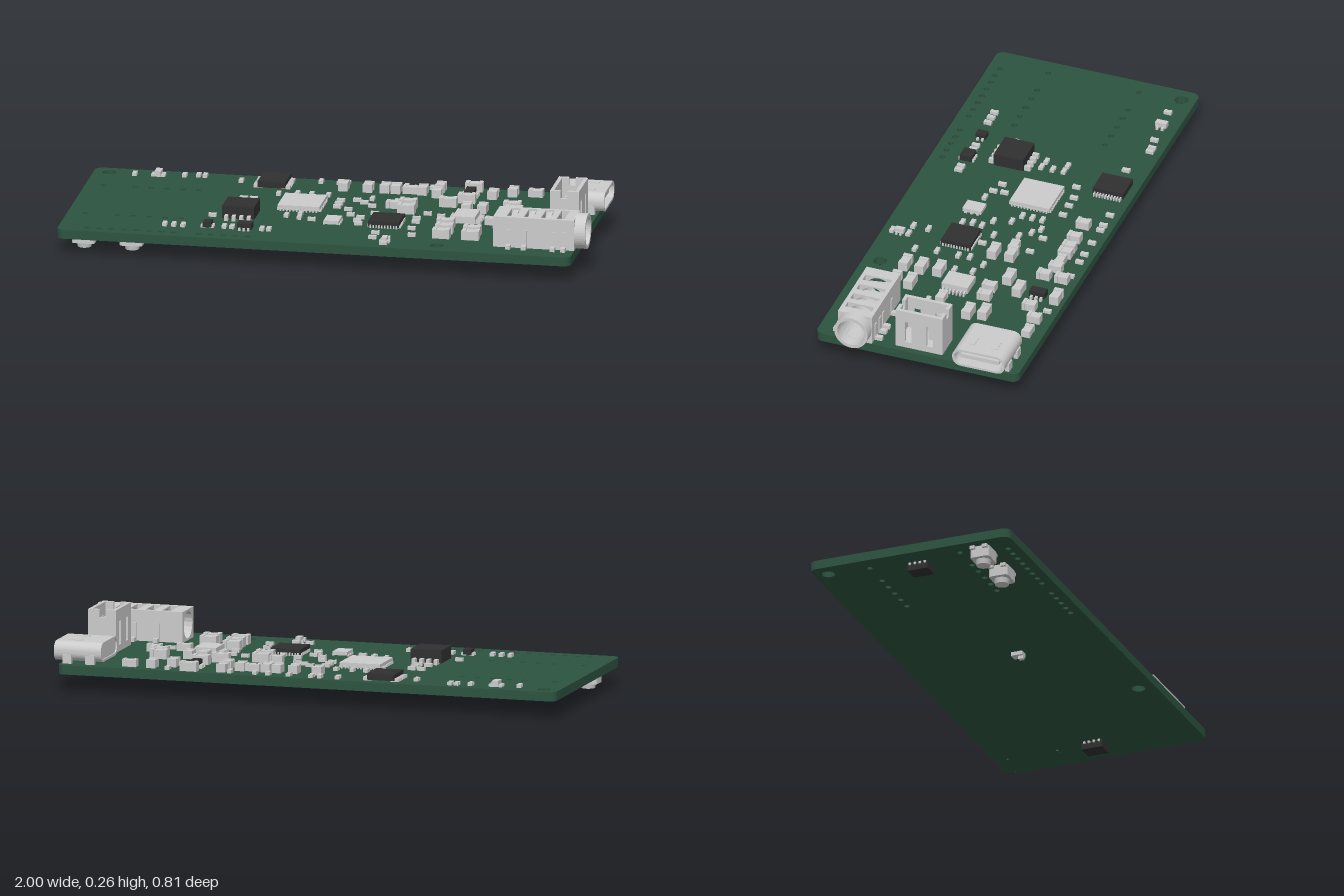
import * as THREE from 'three';

const TOP = 0.1, BOTTOM = 0.065;
const grey = new THREE.MeshStandardMaterial({ color: 0xcccccc });
const black = new THREE.MeshStandardMaterial({ color: 0x303030 });
const green = new THREE.MeshStandardMaterial({ color: 0x2d5340 });

export function createModel() {
  const model = new THREE.Group();

  function group(name, parent = model) {
    const g = new THREE.Group();
    g.name = name;
    parent.add(g);
    return g;
  }
  function add(parent, name, geometry, material = grey) {
    const mesh = new THREE.Mesh(geometry, material);
    mesh.name = name;
    parent.add(mesh);
    return mesh;
  }
  // Box given by its lower and upper limits on each axis
  function box(parent, name, x0, x1, y0, y1, z0, z1, material = grey) {
    const mesh = add(parent, name, new THREE.BoxGeometry(x1 - x0, y1 - y0, z1 - z0), material);
    mesh.position.set((x0 + x1) / 2, (y0 + y1) / 2, (z0 + z1) / 2);
    return mesh;
  }
  function roundRect(w, h, r, Type = THREE.Shape) {
    const s = new Type(), a = w / 2 - r, b = h / 2 - r;
    s.absarc(a, b, r, 0, Math.PI / 2);
    s.absarc(-a, b, r, Math.PI / 2, Math.PI);
    s.absarc(-a, -b, r, Math.PI, Math.PI * 1.5);
    s.absarc(a, -b, r, Math.PI * 1.5, Math.PI * 2);
    s.closePath();
    return s;
  }
  function circle(x, y, r) {
    return new THREE.Path().absarc(x, y, r, 0, Math.PI * 2, true);
  }
  // Extrude a (z, y) profile along x, from x0 to x1
  function extrudeX(parent, name, shape, x0, x1, y, z, curveSegments = 10) {
    const geo = new THREE.ExtrudeGeometry(shape, { depth: x1 - x0, bevelEnabled: false, curveSegments });
    const mesh = add(parent, name, geo.rotateY(Math.PI / 2));
    mesh.position.set(x0, y, z);
    return mesh;
  }

  // Circuit board with mounting holes and rows of pin holes
  const outline = roundRect(1.96, 0.81, 0.03);
  const hole = (x, z, r) => outline.holes.push(circle(x + 0.02, -z, r));
  hole(-0.94, -0.35, 0.026);
  hole(0.44, 0.34, 0.026);
  for (const z of [-0.185, 0.18]) {
    hole(-0.93, z, 0.011);
    for (let i = 0; i < 5; i++) hole(-0.81 + i * 0.061, z, 0.011);
  }
  for (let i = 0; i < 8; i++) hole(-0.893 + i * 0.0475, 0.36, 0.011);
  for (let i = 0; i < 5; i++) hole(-0.465 + i * 0.0468, 0.36, 0.011);
  const boardGeo = new THREE.ExtrudeGeometry(outline, { depth: TOP - BOTTOM, bevelEnabled: false, curveSegments: 8 });
  add(model, 'circuitBoard', boardGeo.rotateX(-Math.PI / 2), green).position.set(-0.02, BOTTOM, 0);

  // Chips: body plus pins along the x sides and/or the z sides
  function chip(name, x, z, w, d, h, material, pinsX, pinsZ, reach = 0.012) {
    const g = group(name);
    box(g, 'chipBody', x - w / 2, x + w / 2, TOP + 0.004, TOP + h, z - d / 2, z + d / 2, material);
    const lift = Math.min(h * 0.45, 0.02);
    const pins = (n, length, place) => {
      for (let i = 0; i < n; i++) {
        const t = ((i + 0.5) / n - 0.5) * length * 0.94, p = length / n * 0.22;
        for (const s of [-1, 1]) place(t, p, s);
      }
    };
    const pin = (cx, cz, a, b) => box(g, 'pin', cx - a, cx + a, TOP, TOP + lift, cz - b, cz + b);
    pins(pinsX, d, (t, p, s) => pin(x + s * w / 2, z + t, reach, p));
    pins(pinsZ, w, (t, p, s) => pin(x + t, z + s * d / 2, p, reach));
  }
  chip('mainChip', -0.15, -0.067, 0.16, 0.16, 0.022, grey, 12, 12, 0.004);
  chip('eightPinChip', -0.352, 0.1, 0.122, 0.118, 0.053, black, 0, 4, 0.024);
  chip('narrowPinChip', -0.303, -0.314, 0.106, 0.122, 0.028, black, 10, 0, 0.017);
  chip('squareChip', 0.203, 0.104, 0.118, 0.118, 0.026, black, 10, 10, 0.004);
  chip('powerChip', 0.49, 0.007, 0.085, 0.105, 0.03, grey, 7, 0, 0.02);
  chip('smallGreyChip', 0.003, 0.126, 0.058, 0.075, 0.018, grey, 3, 0, 0.004);
  chip('smallBlackChip', -0.305, 0.267, 0.054, 0.048, 0.026, black, 0, 3, 0.007);
  chip('tinyBlackChip', -0.448, 0.265, 0.032, 0.04, 0.024, black, 2, 0, 0.009);
  chip('regulatorChip', 0.448, -0.297, 0.036, 0.062, 0.03, black, 3, 0, 0.014);
  chip('transistor', -0.75, -0.342, 0.024, 0.045, 0.024, grey, 2, 0, 0.014);
  chip('transistor', 0.24, 0.335, 0.02, 0.035, 0.022, grey, 2, 0, 0.01);

  // Passive parts: bodies with end caps; positions are x, z pairs in hundredths
  function passives(name, length, width, h, alongX, spots) {
    const g = group(name);
    for (let i = 0; i < spots.length; i += 2) {
      const part = group('passive', g);
      part.position.set(spots[i] / 100, 0, spots[i + 1] / 100);
      if (!alongX) part.rotation.y = Math.PI / 2;
      const l = length / 2, w = width / 2, c = length * 0.24;
      box(part, 'core', -l + c, l - c, TOP, TOP + h * 0.93, -w * 0.94, w * 0.94);
      for (const s of [-1, 1]) {
        box(part, 'endCap', s * l - (s > 0 ? c : 0), s * l + (s < 0 ? c : 0), TOP, TOP + h, -w, w);
      }
    }
  }
  passives('largeCapacitors', 0.066, 0.036, 0.036, true, [
    45, -37, 45, -22, 39, -16, 24.6, -11.5, 25.1, -4.6, 63.6, -15.2, 65.2, -9.4,
    43.8, 17.4, 43.8, 23.8, 54.5, 17.9, 55, 23.8, 43, 10.5]);
  passives('uprightCapacitors', 0.052, 0.036, 0.032, false, [
    -3.5, -29.7, 5.9, -29.7, 12.3, -30, 16.6, -30, 26.7, -30, 32.6, -27.5, 32.6, -34.7,
    60.4, -34, 53, -11.3, 47, -11, 53.5, -29.5]);
  passives('wideCapacitors', 0.055, 0.034, 0.028, true, [
    19.2, -10.4, 69, -34.6, 21.9, -30, 59.5, 3.5, 70, -1]);
  passives('smallResistorsAcross', 0.03, 0.017, 0.013, true, [
    -38, -10.5, -34.2, -10.4, -34, -6, -38, -2, -34, -1.5, -1.6, -14, -1.6, -6, -1.6, -10,
    4.3, -15.7, 7.5, -13.1, 11.2, -9.4, 3.2, -3.5, 5.3, 3, 9.6, 6, 10.2, 13.6, 9.1, 9.9,
    13.9, -0.3, 31, 7.5, 30.5, 3, 31, 16, 33.5, -3.5, 39, -1.3, 40.1, 5.6, -8, 11.5,
    -45.5, 13, 18.7, 24, 18.7, 30, 24, 30, 24, 36.5, 32.6, 24.3, 62, 8, 65, 5]);
  passives('smallResistorsUpright', 0.03, 0.017, 0.013, false, [
    -83.9, -33.4, -65.2, -35, -60, -36, -57.5, -36, -43, -32, -13.4, -36.6, -6.4, -36.6,
    -3, -36.6, 5.9, -36.6, 13.9, -36.6, 19.2, -36.6, 29, -36.6, 53.5, -36.6, -26.2, -18.4,
    -19.3, -20, -13.9, -20, -7.5, -20, 9.6, -18.4, 19.2, -16.8, 20.3, 1.9, -18.2, 8.3,
    -13, 10, -13.4, 5.6, -61, 27.5, -57.5, 27.5, -54, 27.5, -38.5, 26.5, -35.5, 26.5, -24, 27, -21.4, 27]);

  // USB-style socket: rounded hollow shell, tongue and mounting tabs
  const usb = group('usbSocket');
  const shell = roundRect(0.21, 0.074, 0.034);
  shell.holes.push(roundRect(0.192, 0.056, 0.026, THREE.Path));
  extrudeX(usb, 'shell', shell, 0.8, 0.985, 0.144, -0.258);
  extrudeX(usb, 'shellBack', roundRect(0.2, 0.066, 0.03), 0.805, 0.85, 0.144, -0.258);
  extrudeX(usb, 'tongue', roundRect(0.155, 0.016, 0.004), 0.84, 0.97, 0.144, -0.258);
  for (const s of [-1, 1]) {
    for (const x of [0.825, 0.915]) {
      const z = -0.258 + s * 0.102;
      box(usb, 'mountingTab', x, x + 0.035, BOTTOM, 0.135, z - 0.008, z + 0.008);
    }
    box(usb, 'topSpring', 0.89, 0.94, 0.176, 0.183, -0.258 + s * 0.045 - 0.012, -0.258 + s * 0.045 + 0.012);
  }

  // Upright battery header: open box with slotted end walls and two pins
  const header = group('batteryHeader');
  box(header, 'floor', 0.825, 0.935, TOP, 0.125, -0.095, 0.093);
  for (const x of [0.825, 0.921]) {
    const wall = new THREE.Shape([[-0.094, 0], [0.094, 0], [0.094, 0.162], [-0.094, 0.162]]
      .map(p => new THREE.Vector2(...p)));
    for (const u of [-0.043, 0.043]) {
      wall.holes.push(new THREE.Path([[-0.013, 0.025], [-0.013, 0.115], [0.013, 0.115], [0.013, 0.025]]
        .map(p => new THREE.Vector2(u + p[0], p[1]))));
    }
    extrudeX(header, 'slottedWall', wall, x, x + 0.014, TOP, -0.001);
  }
  for (const z of [-0.095, 0.079]) {
    box(header, 'sideWall', 0.83, 0.865, TOP, 0.262, z, z + 0.014);
    box(header, 'sideWall', 0.89, 0.93, TOP, 0.262, z, z + 0.014);
    box(header, 'sideSill', 0.86, 0.895, TOP, 0.232, z, z + 0.014);
  }
  for (const z of [-0.033, 0.031]) box(header, 'contact', 0.87, 0.89, 0.12, 0.225, z - 0.01, z + 0.01);

  // Audio jack: bored body with a slotted roof, round nose and side terminals
  const jack = group('audioJack');
  const JZ = 0.247, JY = 0.16;
  const closed = new THREE.Shape([[-0.068, -0.06], [0.068, -0.06], [0.068, 0.058], [-0.068, 0.058]]
    .map(p => new THREE.Vector2(...p)));
  closed.holes.push(circle(0, 0, 0.053));
  const open = new THREE.Shape([[-0.068, -0.06], [0.068, -0.06], [0.068, 0.058], [0.053, 0.058], [0.053, 0]]
    .map(p => new THREE.Vector2(...p)));
  open.absarc(0, 0, 0.053, 0, Math.PI, true);
  open.lineTo(-0.053, 0.058);
  open.lineTo(-0.068, 0.058);
  const cuts = [0.65, 0.7, 0.735, 0.765, 0.8, 0.83, 0.865, 0.89, 0.92, 0.958];
  for (let i = 0; i < cuts.length - 1; i++) {
    extrudeX(jack, i % 2 ? 'openBody' : 'roofedBody', i % 2 ? open : closed, cuts[i], cuts[i + 1], JY, JZ);
  }
  const nose = new THREE.Shape().absarc(0, 0, 0.067, 0, Math.PI * 2);
  nose.holes.push(circle(0, 0, 0.054));
  extrudeX(jack, 'nose', nose, 0.955, 1, JY, JZ, 20);
  for (const [x, s] of [[0.71, 1], [0.77, 1], [0.88, 1], [0.92, 1], [0.75, -1], [0.84, -1], [0.875, -1], [0.92, -1]]) {
    const z = JZ + s * 0.08;
    box(jack, 'terminal', x - 0.009, x + 0.009, TOP, 0.115, z - 0.018, z + 0.018);
    box(jack, 'terminalRiser', x - 0.009, x + 0.009, TOP, 0.17, JZ + s * 0.068 - 0.004, JZ + s * 0.068 + 0.004);
  }
  for (const x of [0.717, 0.782, 0.847]) {
    box(jack, 'springContact', x - 0.01, x + 0.01, 0.2, 0.206, JZ - 0.052, JZ + 0.03).rotation.x = 0.12;
  }

  // Push buttons under the board
  for (const x of [-0.917, -0.735]) {
    const button = group('pushButton');
    const base = roundRect(0.088, 0.076, 0.012);
    const geo = new THREE.ExtrudeGeometry(base, { depth: 0.044, bevelEnabled: false, curveSegments: 2 });
    add(button, 'buttonBase', geo.rotateX(-Math.PI / 2)).position.set(x, 0.02, 0.27);
    add(button, 'plunger', new THREE.CylinderGeometry(0.03, 0.026, 0.022, 24)).position.set(x, 0.011, 0.27);
    for (const s of [-1, 1]) {
      for (const z of [0.245, 0.295]) {
        box(button, 'buttonTerminal', x + s * 0.045 - 0.01, x + s * 0.045 + 0.01, 0.052, BOTTOM, z - 0.01, z + 0.01);
      }
    }
  }

  // Other parts under the board
  for (const x of [0.83, -0.885]) {
    const sensor = group('undersideChip');
    box(sensor, 'chipBody', x - 0.03, x + 0.035, 0.035, 0.062, -0.04, 0.043, black);
    for (let i = 0; i < 4; i++) {
      const z = -0.028 + i * 0.02;
      box(sensor, 'pin', x - 0.036, x + 0.041, 0.056, BOTTOM, z - 0.004, z + 0.004);
    }
  }
  const under = group('undersideSmallParts');
  box(under, 'smallBody', -0.04, -0.004, 0.05, BOTTOM, 0.02, 0.065);
  box(under, 'smallCap', -0.03, -0.012, 0.037, 0.052, 0.045, 0.064);

  return model;
}
